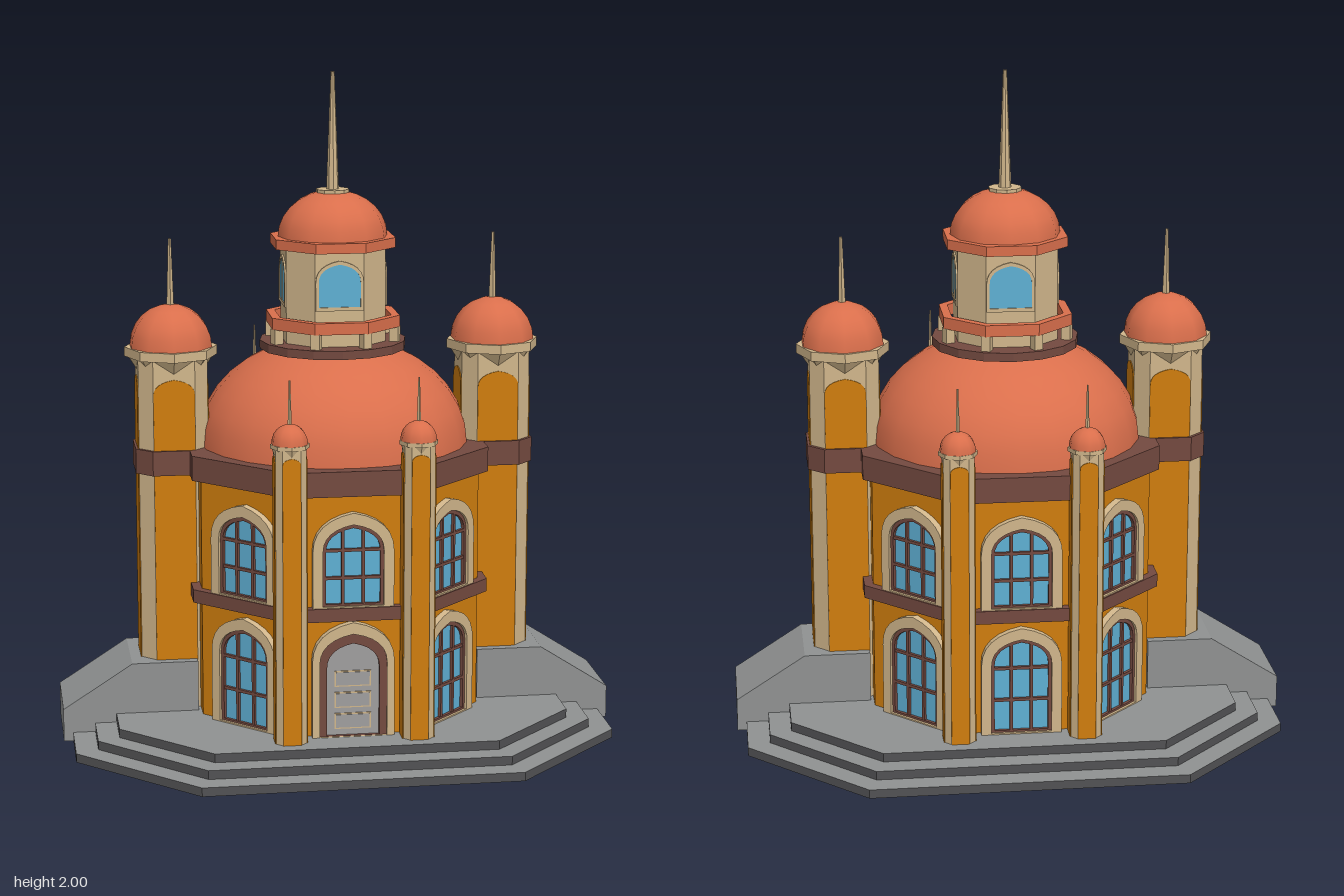
import * as THREE from 'three';
import { toCreasedNormals } from 'three/addons/utils/BufferGeometryUtils.js';

const mat = (name, color) => {
  const m = new THREE.MeshStandardMaterial({ color });
  m.name = name;
  return m;
};

export function createModel() {
  const orange = mat('orange wall', 0xd07e0e);
  const cream = mat('cream stone', 0xd2b78c);
  const terracotta = mat('terracotta roof', 0xda6f4c);
  const brown = mat('brown trim', 0x744a40);
  const glass = mat('blue glass', 0x5fb0d4);
  const stone = mat('grey stone', 0x909292);
  const dark = mat('dark riser', 0x525254);
  const doorGrey = mat('door grey', 0xa09e9e);

  const model = new THREE.Group();
  model.name = 'domedPavilion';

  const add = (parent, name, geo, material, x = 0, y = 0, z = 0) => {
    const mesh = new THREE.Mesh(geo, material);
    mesh.name = name;
    mesh.position.set(x, y, z);
    parent.add(mesh);
    return mesh;
  };
  const group = (parent, name) => {
    const g = new THREE.Group();
    g.name = name;
    parent.add(g);
    return g;
  };

  // Eight-sided outline: half sizes hx, hz and half lengths of the flat sides fx, fz
  const octagon = (hx, hz = hx, fx = hx * 0.4142, fz = fx) => new THREE.Shape([
    [hx, -fz], [hx, fz], [fx, hz], [-fx, hz], [-hx, fz], [-hx, -fz], [-fx, -hz], [fx, -hz],
  ].map(([x, y]) => new THREE.Vector2(x, y)));
  const prism = (shape, height) =>
    new THREE.ExtrudeGeometry(shape, { depth: height, bevelEnabled: false }).rotateX(-Math.PI / 2);
  const drum = (rTop, rBottom, h, sides) =>
    toCreasedNormals(new THREE.CylinderGeometry(rTop, rBottom, h, sides), 0.3).translate(0, h / 2, 0);

  // Dome with a rounded elliptical profile
  const dome = (r, h, sides, rings) => {
    const pts = [];
    for (let i = 0; i <= rings; i++) {
      const a = (i / rings) * Math.PI / 2;
      pts.push(new THREE.Vector2(i === rings ? 0 : r * Math.cos(a), h * Math.sin(a)));
    }
    return new THREE.LatheGeometry(pts, sides);
  };

  // Slightly pointed arch outline
  const arch = (w, y0, spring, peak, Type = THREE.Shape) => {
    const s = new Type();
    const c = spring + (peak - spring) * 0.8;
    s.moveTo(-w, y0);
    s.lineTo(w, y0);
    s.lineTo(w, spring);
    s.quadraticCurveTo(w, c, 0, peak);
    s.quadraticCurveTo(-w, c, -w, spring);
    s.lineTo(-w, y0);
    return s;
  };
  const plate = (shape, depth) =>
    new THREE.ExtrudeGeometry(shape, { depth, bevelEnabled: false, curveSegments: 6 });
  const archFrame = (outer, inner, depth) => {
    const s = arch(...outer);
    s.holes.push(arch(...inner, THREE.Path));
    return plate(s, depth);
  };

  // Stepped plinth
  [[0.812, 0.672, 0.47, 0.33], [0.745, 0.605, 0.445, 0.302], [0.68, 0.54, 0.42, 0.28]]
    .forEach((p, i) => add(model, 'plinthStep', prism(octagon(...p), 0.0267), [stone, dark], 0, i * 0.0267, 0));

  // Sloped side blocks
  const ramp = new THREE.Shape([[0.43, 0], [0.84, 0], [0.84, 0.1], [0.63, 0.235], [0.43, 0.235]]
    .map(([x, y]) => new THREE.Vector2(x, y)));
  for (const turn of [0, Math.PI]) {
    const geo = new THREE.ExtrudeGeometry(ramp, { depth: 0.27, bevelEnabled: false }).translate(0, 0, -0.135);
    add(model, 'sideBlock', geo, stone).rotation.y = turn;
  }

  // Main hall with its two brown bands
  const wall = 0.42;
  add(model, 'hallWalls', prism(octagon(wall), 0.74), orange, 0, 0.08, 0);
  add(model, 'middleLedge', prism(octagon(0.447), 0.04), brown, 0, 0.435, 0);
  add(model, 'roofSlab', prism(octagon(0.447), 0.075), brown, 0, 0.81, 0);
  add(model, 'mainDome', dome(0.41, 0.315, 24, 9), terracotta, 0, 0.885, 0);

  // Arched window with cream surround and brown glazing bars
  const makeWindow = (parent, y0, spring, peak) => {
    const g = group(parent, 'archedWindow');
    add(g, 'windowSurround', archFrame([0.12, y0, spring, peak], [0.09, y0 + 0.004, spring, peak - 0.035], 0.022), cream);
    add(g, 'windowPane', plate(arch(0.092, y0, spring, peak - 0.033), 0.004), glass);
    add(g, 'windowRim', archFrame([0.091, y0 + 0.001, spring, peak - 0.034], [0.08, y0 + 0.01, spring, peak - 0.047], 0.014), brown);
    const top = peak - 0.04;
    for (const x of [-0.03, 0.03])
      add(g, 'uprightBar', new THREE.BoxGeometry(0.009, top - y0 - 0.012, 0.01), brown, x, (top + y0 - 0.012) / 2, 0.008);
    for (const t of [0.36, 0.7])
      add(g, 'crossBar', new THREE.BoxGeometry(0.17, 0.009, 0.01), brown, 0, y0 + (top - y0) * t, 0.008);
  };

  // Panelled front door
  const makeDoor = (parent) => {
    const g = group(parent, 'frontDoor');
    add(g, 'doorSurround', archFrame([0.122, 0.08, 0.31, 0.43], [0.1, 0.081, 0.305, 0.395], 0.024), cream);
    add(g, 'doorFrame', archFrame([0.101, 0.081, 0.305, 0.396], [0.078, 0.082, 0.29, 0.365], 0.018), brown);
    add(g, 'doorLeaf', plate(arch(0.08, 0.08, 0.29, 0.367), 0.006), doorGrey);
    for (const y of [0.125, 0.19, 0.255]) {
      add(g, 'panelBorder', new THREE.BoxGeometry(0.108, 0.048, 0.006), cream, 0, y, 0.006);
      add(g, 'doorPanel', new THREE.BoxGeometry(0.1, 0.04, 0.008), doorGrey, 0, y, 0.007);
    }
  };

  // Openings on the front, back and diagonal faces
  for (const k of [0, 1, 3, 4, 5, 7]) {
    const face = group(model, 'wallFace');
    const a = (k * Math.PI) / 4;
    face.rotation.y = a;
    face.position.set(Math.sin(a) * wall, 0, Math.cos(a) * wall);
    if (k === 0) makeDoor(face);
    else makeWindow(face, 0.08, 0.3, 0.415);
    makeWindow(face, 0.475, 0.645, 0.76);
  }

  // Chamfered tower with arched panels, flared cornice, dome and spire
  const makeTower = (name, x, z, o) => {
    const g = group(model, name);
    g.position.set(x, 0, z);
    add(g, 'towerShaft', prism(octagon(o.r, o.r, o.r * 0.6), o.rim - 0.08), cream, 0, 0.08, 0);
    for (let i = 0; i < 4; i++) {
      const a = (i * Math.PI) / 2;
      const w = o.r * 0.595;
      const p = add(g, 'towerPanel', plate(arch(w, 0.08, o.panel - w * 0.75, o.panel), 0.003), orange,
        Math.sin(a) * o.r, 0, Math.cos(a) * o.r);
      p.rotation.y = a;
    }
    add(g, 'corniceFlare', drum(o.cap * 0.92, o.r, o.flare, 8), cream, 0, o.rim - o.flare, 0);
    add(g, 'corniceRim', drum(o.cap, o.cap, o.rimH, 8), cream, 0, o.rim, 0);
    add(g, 'towerDome', dome(o.dome, o.domeH, 10, 6), terracotta, 0, o.rim + o.rimH, 0);
    const base = o.rim + o.rimH + o.domeH - 0.008;
    add(g, 'towerSpire', drum(o.spire * 0.4, o.spire, o.top - base, 4), cream, 0, base, 0);
    return g;
  };
  for (const s of [-1, 1]) {
    const tower = makeTower('sideTower', s * 0.491, 0, {
      r: 0.104, panel: 1.1, rim: 1.157, rimH: 0.028, flare: 0.04, cap: 0.14, dome: 0.127, domeH: 0.127, spire: 0.011, top: 1.51,
    });
    add(tower, 'towerBand', prism(octagon(0.114, 0.114, 0.066), 0.075), brown, 0, 0.81, 0);
    for (const z of [-1, 1])
      makeTower('cornerMinaret', s * 0.188, z * 0.453, {
        r: 0.045, panel: 0.94, rim: 0.963, rimH: 0.012, flare: 0.02, cap: 0.057, dome: 0.054, domeH: 0.058, spire: 0.006, top: 1.16,
      });
  }

  // Gallery around the foot of the lantern
  const lantern = group(model, 'lantern');
  add(lantern, 'galleryFloor', drum(0.222, 0.222, 0.026, 16), brown, 0, 1.17, 0);
  const rail = octagon(0.193);
  rail.holes.push(octagon(0.168));
  add(lantern, 'galleryRail', prism(rail, 0.035), terracotta, 0, 1.24, 0);
  for (let i = 0; i < 8; i++) {
    const a = (i + 0.5) * Math.PI / 4;
    add(lantern, 'galleryPost', new THREE.BoxGeometry(0.028, 0.046, 0.028), cream,
      Math.sin(a) * 0.193, 1.218, Math.cos(a) * 0.193).rotation.y = a;
  }

  // Lantern room with four arched windows
  add(lantern, 'lanternWalls', prism(octagon(0.15, 0.15, 0.073), 0.29), cream, 0, 1.195, 0);
  for (let i = 0; i < 4; i++) {
    const face = group(lantern, 'lanternWindow');
    const a = (i * Math.PI) / 2;
    face.rotation.y = a;
    face.position.set(Math.sin(a) * 0.15, 0, Math.cos(a) * 0.15);
    add(face, 'lanternPane', plate(arch(0.064, 1.315, 1.39, 1.445), 0.002), glass);
    add(face, 'lanternFrame', archFrame([0.072, 1.305, 1.39, 1.455], [0.063, 1.316, 1.39, 1.444], 0.005), cream);
    if (i % 2) add(face, 'lanternBar', new THREE.BoxGeometry(0.008, 0.125, 0.004), cream, 0, 1.378, 0.003);
  }

  // Lantern roof and spire
  add(lantern, 'lanternCornice', prism(octagon(0.18), 0.03), terracotta, 0, 1.48, 0);
  add(lantern, 'lanternDome', dome(0.166, 0.137, 12, 7), terracotta, 0, 1.51, 0);
  add(lantern, 'spireBase', drum(0.05, 0.05, 0.012, 10), cream, 0, 1.638, 0);
  add(lantern, 'mainSpire', drum(0.006, 0.019, 0.35, 8), cream, 0, 1.65, 0);

  return model;
}
